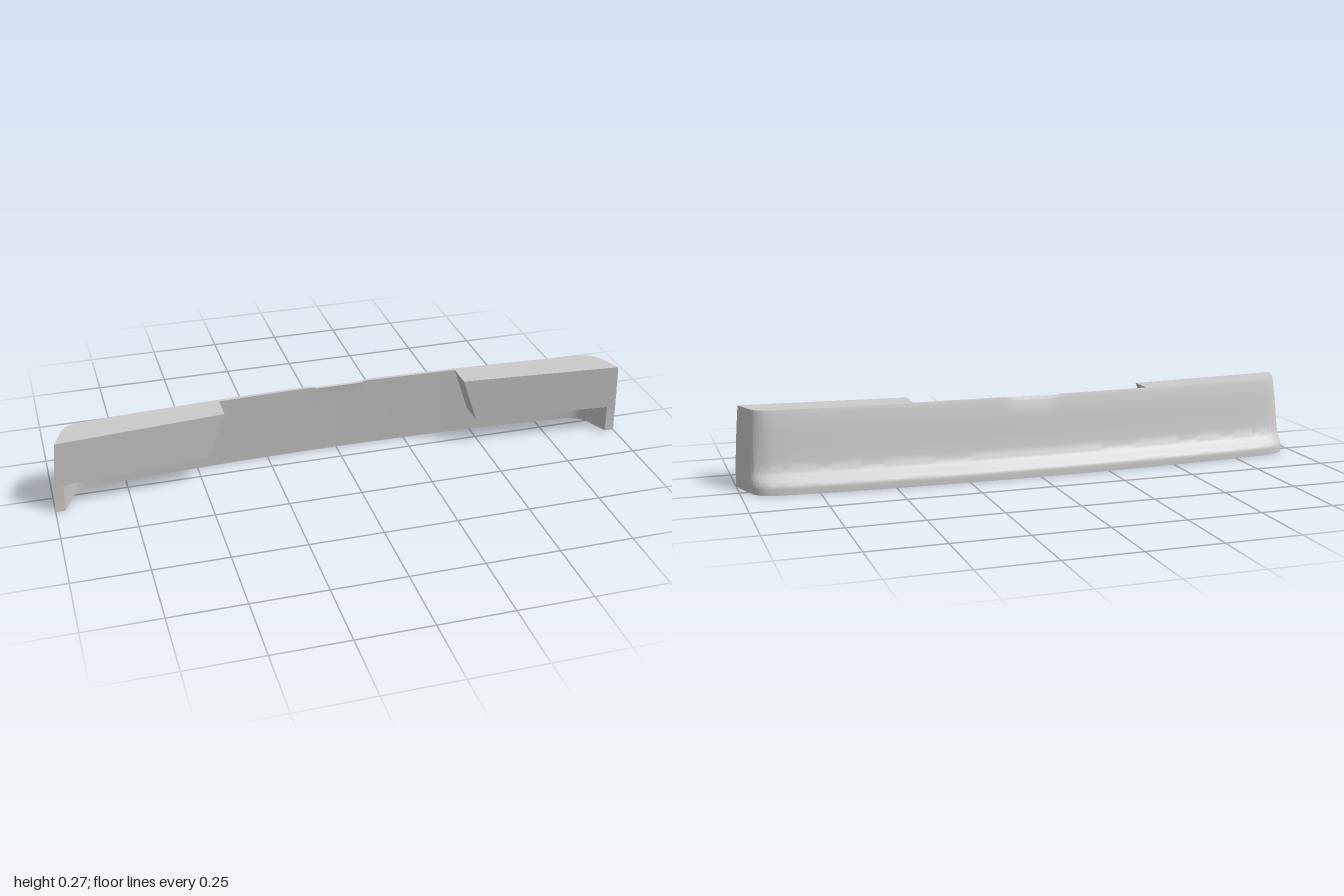
import * as THREE from 'three';
import { toCreasedNormals } from 'three/addons/utils/BufferGeometryUtils.js';

const HEIGHT = 0.268;
const SPAN_STEPS = 16;

// Half outlines in plan (x, z), from the middle to the wing tip
const BOTTOM = [[0, -0.113], [0.4, -0.106], [0.7, -0.091], [0.87, -0.075], [0.93, -0.06], [0.957, -0.035], [0.977, 0.02], [1, 0.09]];
const TOP = [[0, -0.045], [0.4, -0.036], [0.7, -0.021], [0.86, -0.008], [0.918, 0.003], [0.943, 0.022], [0.96, 0.06], [0.98, 0.115]];
const INNER_BOTTOM = [[0, -0.07], [0.4, -0.063], [0.7, -0.048], [0.86, -0.033], [0.905, -0.022], [0.93, 0], [0.948, 0.04], [0.968, 0.088]];
const INNER_TOP = [[0, -0.033], [0.4, -0.024], [0.7, -0.009], [0.85, 0.004], [0.9, 0.015], [0.925, 0.03], [0.94, 0.065], [0.955, 0.113]];

// Back profile: height, and how far it has moved from the bottom to the top outline
const PROFILE = [[0, 0], [0.02, 0], [0.026, 0.012], [0.032, 0.05], [0.039, 0.105], [0.044, 0.18], [0.05, 0.27], [0.062, 0.45],
  [0.07, 0.53], [0.08, 0.58], [0.1, 0.64], [0.15, 0.74], [0.2, 0.83], [0.255, 0.95], [HEIGHT, 1]];

function outline(half) {
  const right = half.map(([x, z]) => new THREE.Vector3(x, 0, z));
  const left = half.slice(1).reverse().map(([x, z]) => new THREE.Vector3(-x, 0, z));
  return new THREE.CatmullRomCurve3([...left, ...right]);
}

// Curved shell with a flared lower lip, lofted from one wing tip to the other
function shellGeometry() {
  const [bottom, top, innerBottom, innerTop] = [BOTTOM, TOP, INNER_BOTTOM, INNER_TOP].map(outline);
  const stations = (BOTTOM.length - 1) * 2 * SPAN_STEPS;
  const rows = PROFILE.length;
  const n = rows * 2;
  const pos = [];
  const index = [];

  for (let i = 0; i <= stations; i++) {
    const u = i / stations;
    const b = bottom.getPoint(u), t = top.getPoint(u);
    const ib = innerBottom.getPoint(u), it = innerTop.getPoint(u);
    // the flare fades along the wings into a gently curved tip edge
    const fade = THREE.MathUtils.smoothstep(Math.abs(u - 0.5) * 2, 0.55, 1);
    // shallow dip in the middle of the top edge
    const dip = 0.006 * (1 - THREE.MathUtils.smoothstep(Math.abs(t.x), 0.07, 0.095));
    const outer = [], inner = [];
    for (const [h, f] of PROFILE) {
      const k = h / HEIGHT;
      const tip = k ** 1.6;
      const y = h === HEIGHT ? h - dip : h;
      const p = b.clone().lerp(t, THREE.MathUtils.lerp(f, tip, fade));
      const q = ib.clone().lerp(it, THREE.MathUtils.lerp(k, tip, fade));
      outer.push([p.x, y, p.z]);
      inner.push([q.x, y, q.z]);
    }
    pos.push(...outer.flat(), ...inner.reverse().flat());
  }

  for (let i = 0; i < stations; i++) {
    for (let j = 0; j < n; j++) {
      const a = i * n + j, d = i * n + (j + 1) % n;
      index.push(a, d, a + n, d, d + n, a + n);
    }
  }
  // wing tip faces
  const last = stations * n;
  for (let r = 0; r < rows - 1; r++) {
    const a = r, b = n - 1 - r, c = n - 2 - r, d = r + 1;
    index.push(a, b, c, a, c, d);
    index.push(last + a, last + c, last + b, last + a, last + d, last + c);
  }

  const geo = new THREE.BufferGeometry();
  geo.setAttribute('position', new THREE.Float32BufferAttribute(pos, 3));
  geo.setIndex(index);
  return toCreasedNormals(geo, 0.9);
}

// Solid block in front of each end, leaning with the shell and slanted on its inner side
function blockGeometry(side) {
  const plan = [[0.42, 0.068], [0.978, 0.1153], [0.948, 0.07], [0.93, 0.03], [0.905, 0.012], [0.85, -0.003], [0.7, -0.016], [0.42, -0.032]];
  const shape = new THREE.Shape(plan.map(([x, z]) => new THREE.Vector2(side * x, -z)));
  const geo = new THREE.ExtrudeGeometry(shape, { depth: 1, bevelEnabled: false });
  geo.rotateX(-Math.PI / 2);
  const p = geo.attributes.position;
  for (let i = 0; i < p.count; i++) {
    const x = Math.abs(p.getX(i)), down = 1 - p.getY(i);
    const shift = (x < 0.5 ? 0.06 : 0.014) * down;
    // the z shift keeps the front face flat
    p.setXYZ(i, side * (x + shift), HEIGHT - (HEIGHT - 0.1) * down, p.getZ(i) + 0.0848 * shift - 0.0203 * down);
  }
  geo.computeVertexNormals();
  return geo;
}

export function createModel() {
  const group = new THREE.Group();
  group.name = 'bumperLip';
  const material = new THREE.MeshStandardMaterial({ color: 0xcccccc });

  const shell = new THREE.Mesh(shellGeometry(), material);
  shell.name = 'curvedShell';
  group.add(shell);

  for (const [name, side] of [['leftEndBlock', 1], ['rightEndBlock', -1]]) {
    const block = new THREE.Mesh(blockGeometry(side), material);
    block.name = name;
    group.add(block);
  }
  return group;
}
